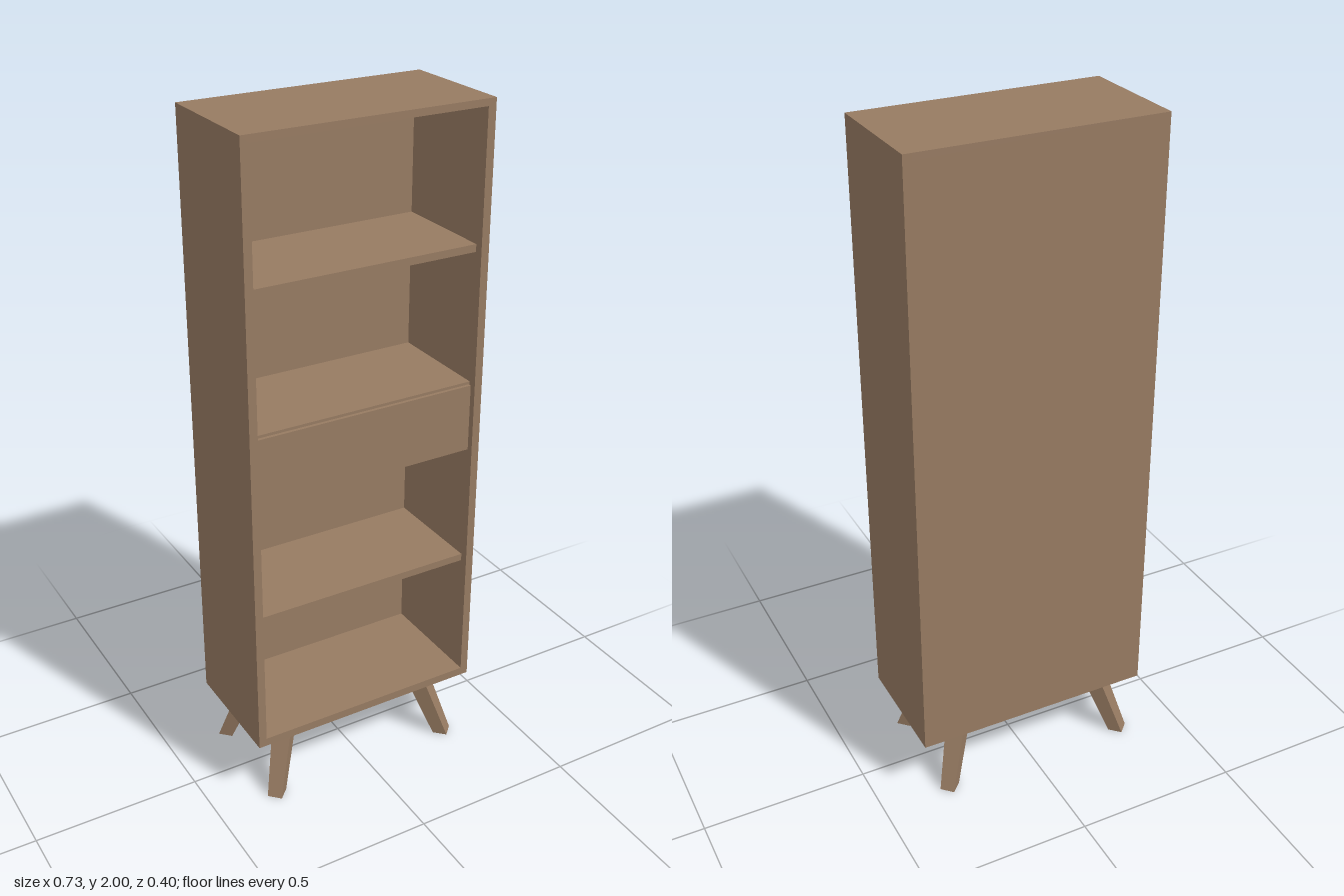
import * as THREE from 'three';

export function createModel() {
  const model = new THREE.Group();
  model.name = 'bookcase';
  const wood = new THREE.MeshStandardMaterial({ color: 0x977b62, flatShading: true });
  wood.name = 'walnut wood';

  const add = (name, geometry) => {
    const mesh = new THREE.Mesh(geometry, wood);
    mesh.name = name;
    model.add(mesh);
    return mesh;
  };
  // box given by its limits along each axis
  const box = (name, x0, x1, y0, y1, z0, z1) =>
    add(name, new THREE.BoxGeometry(x1 - x0, y1 - y0, z1 - z0))
      .position.set((x0 + x1) / 2, (y0 + y1) / 2, (z0 + z1) / 2);

  const W = 0.365, IN = 0.341, BACK = -0.183, INNER_BACK = -0.168;
  const LIP = 0.152, FRONT = 0.177;

  // carcass, open at the front
  box('leftSide', IN, W, 0.2, 2, BACK, LIP);
  box('rightSide', -W, -IN, 0.2, 2, BACK, LIP);
  box('topPanel', -IN, IN, 1.98, 2, BACK, LIP);
  box('bottomPanel', -IN, IN, 0.2, 0.225, BACK, LIP);
  box('backPanel', -IN, IN, 0.225, 1.98, BACK, INNER_BACK);

  // edging around the front opening
  const rect = (path, x, y0, y1) =>
    path.moveTo(-x, y0).lineTo(x, y0).lineTo(x, y1).lineTo(-x, y1).closePath();
  const frame = rect(new THREE.Shape(), W, 0.2, 2);
  frame.holes.push(rect(new THREE.Path(), IN, 0.225, 1.98));
  add('frontFrame', new THREE.ExtrudeGeometry(frame, { depth: FRONT - LIP, bevelEnabled: false }))
    .position.z = LIP;

  // shelves and drawer
  box('upperShelf', -IN, IN, 1.583, 1.605, INNER_BACK, LIP);
  box('lowerShelf', -IN, IN, 0.608, 0.63, INNER_BACK, LIP);
  box('drawerBox', -IN, IN, 0.99, 1.2, INNER_BACK, LIP);
  box('drawerFront', -0.338, 0.338, 0.99, 1.192, LIP, 0.162);

  // base: apron frame under the carcass, set slightly to one side
  const CX = -0.012;
  for (const s of [1, -1]) {
    const z = s * 0.11, x = CX + s * 0.226;
    box(s > 0 ? 'frontApron' : 'backApron', CX - 0.238, CX + 0.238, 0.15, 0.2, z - 0.012, z + 0.012);
    box(s > 0 ? 'leftApron' : 'rightApron', x - 0.012, x + 0.012, 0.15, 0.2, -0.098, 0.098);
  }

  // splayed, tapered legs of square section turned by 45 degrees
  for (const sx of [1, -1]) for (const sz of [1, -1]) {
    const geometry = new THREE.CylinderGeometry(0.041, 0.031, 0.2, 4);
    const p = geometry.attributes.position;
    for (let i = 0; i < p.count; i++) {
      const foot = p.getY(i) < 0;
      p.setX(i, p.getX(i) + CX + sx * (foot ? 0.295 : 0.235));
      p.setZ(i, p.getZ(i) + sz * (foot ? 0.167 : 0.109));
    }
    geometry.computeVertexNormals();
    add((sz > 0 ? 'front' : 'back') + (sx > 0 ? 'Left' : 'Right') + 'Leg', geometry).position.y = 0.1;
  }
  return model;
}
